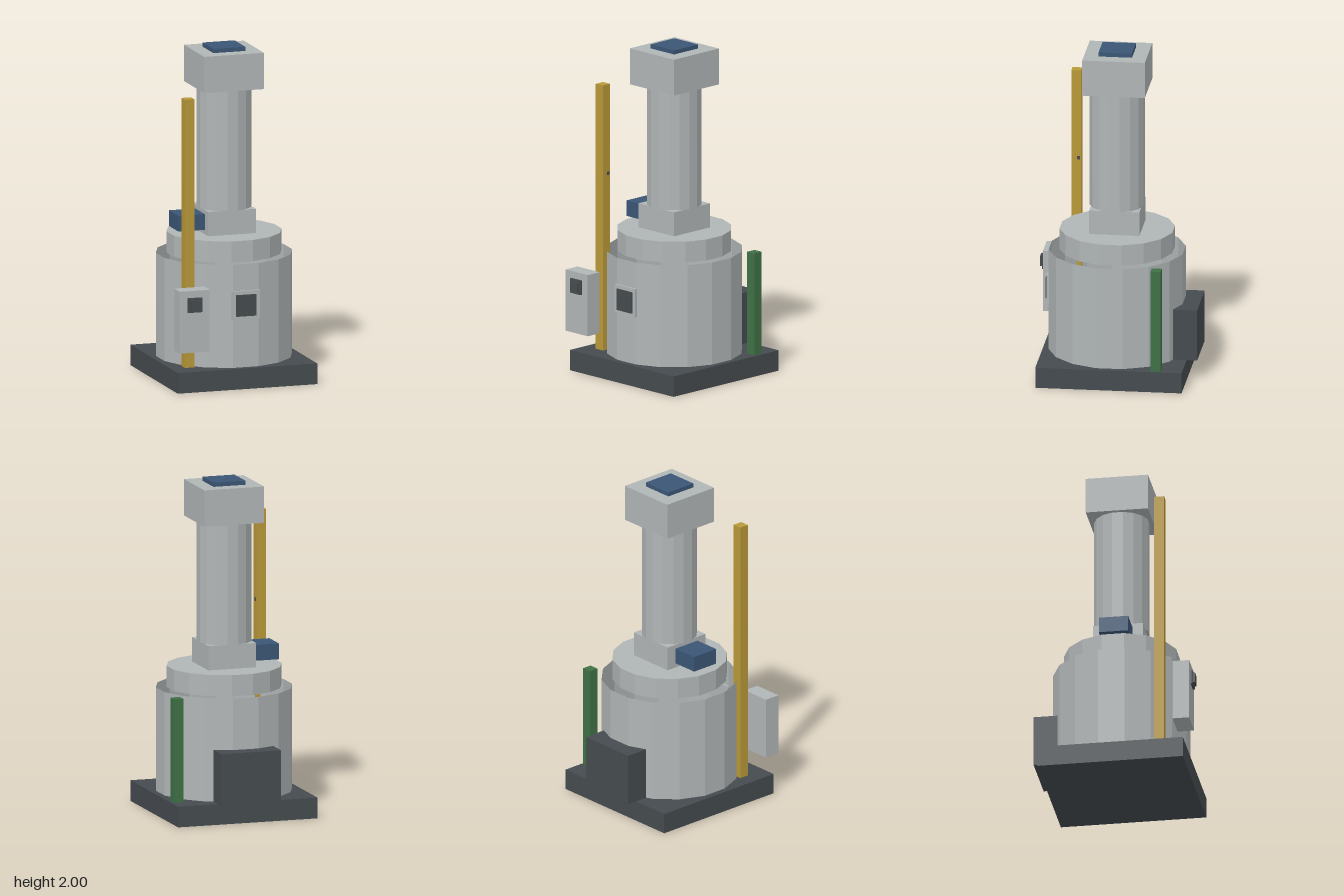
import * as THREE from 'three';

const mat = (name, color) => {
  const m = new THREE.MeshStandardMaterial({ color });
  m.name = name;
  m.flatShading = true;
  return m;
};

export function createModel() {
  const model = new THREE.Group();
  model.name = 'industrialMachine';
  const grey = mat('lightGrey', 0xb0b5b5);
  const dark = mat('darkGrey', 0x454b4f);
  const yellow = mat('yellow', 0xb89838);
  const blue = mat('blue', 0x3b5675);
  const green = mat('green', 0x3f7045);
  grey.side = THREE.DoubleSide; // the vessel is an open shell

  const add = (name, geometry, material) => {
    const mesh = new THREE.Mesh(geometry, material);
    mesh.name = name;
    model.add(mesh);
    return mesh;
  };
  // Box given by its limits on each axis
  const box = (name, material, [x0, x1], [y0, y1], [z0, z1]) =>
    add(name, new THREE.BoxGeometry(x1 - x0, y1 - y0, z1 - z0), material)
      .position.set((x0 + x1) / 2, (y0 + y1) / 2, (z0 + z1) / 2);
  // Sixteen-sided drum with flats on the axes, sized by its flat-to-centre distance
  const drum = (name, material, apothem, y0, y1, open = false) => {
    const r = apothem / Math.cos(Math.PI / 16);
    const geometry = new THREE.CylinderGeometry(r, r, y1 - y0, 16, 1, open);
    geometry.rotateY(Math.PI / 16);
    add(name, geometry, material).position.y = (y0 + y1) / 2;
  };

  // Base and main body
  box('base', dark, [-0.437, 0.437], [0, 0.125], [-0.437, 0.437]);
  drum('vesselShell', grey, 0.4, 0.125, 0.75, true);
  drum('vesselLid', grey, 0.337, 0.75, 0.878);

  // Column and head
  box('columnCollar', grey, [-0.15, 0.15], [0.878, 1.025], [-0.15, 0.15]);
  drum('column', grey, 0.161, 1.025, 1.755);
  box('head', grey, [-0.187, 0.187], [1.755, 1.975], [-0.187, 0.187]);
  box('headCap', blue, [-0.1, 0.1], [1.975, 2], [-0.1, 0.1]);
  box('sideMotor', blue, [-0.315, -0.15], [0.905, 1], [-0.088, 0.088]);

  // Posts and rear unit
  box('tallPost', yellow, [-0.35, -0.29], [0.125, 1.75], [0.25, 0.31]);
  box('postMark', dark, [-0.291, -0.287], [1.195, 1.215], [0.257, 0.277]);
  box('shortPost', green, [0.362, 0.423], [0.125, 0.75], [-0.31, -0.25]);
  box('rearUnit', dark, [-0.187, 0.187], [0.125, 0.438], [-0.5, -0.29]);

  // Control box with its button
  box('controlBox', grey, [-0.438, -0.25], [0.25, 0.625], [0.375, 0.475]);
  box('buttonFrame', dark, [-0.388, -0.3], [0.495, 0.583], [0.475, 0.487]);
  box('button', dark, [-0.374, -0.314], [0.508, 0.57], [0.487, 0.5]);

  // Window on the vessel
  box('windowFrame', grey, [-0.087, 0.087], [0.417, 0.59], [0.388, 0.412]);
  box('windowPane', dark, [-0.063, 0.063], [0.437, 0.567], [0.412, 0.42]);

  return model;
}
